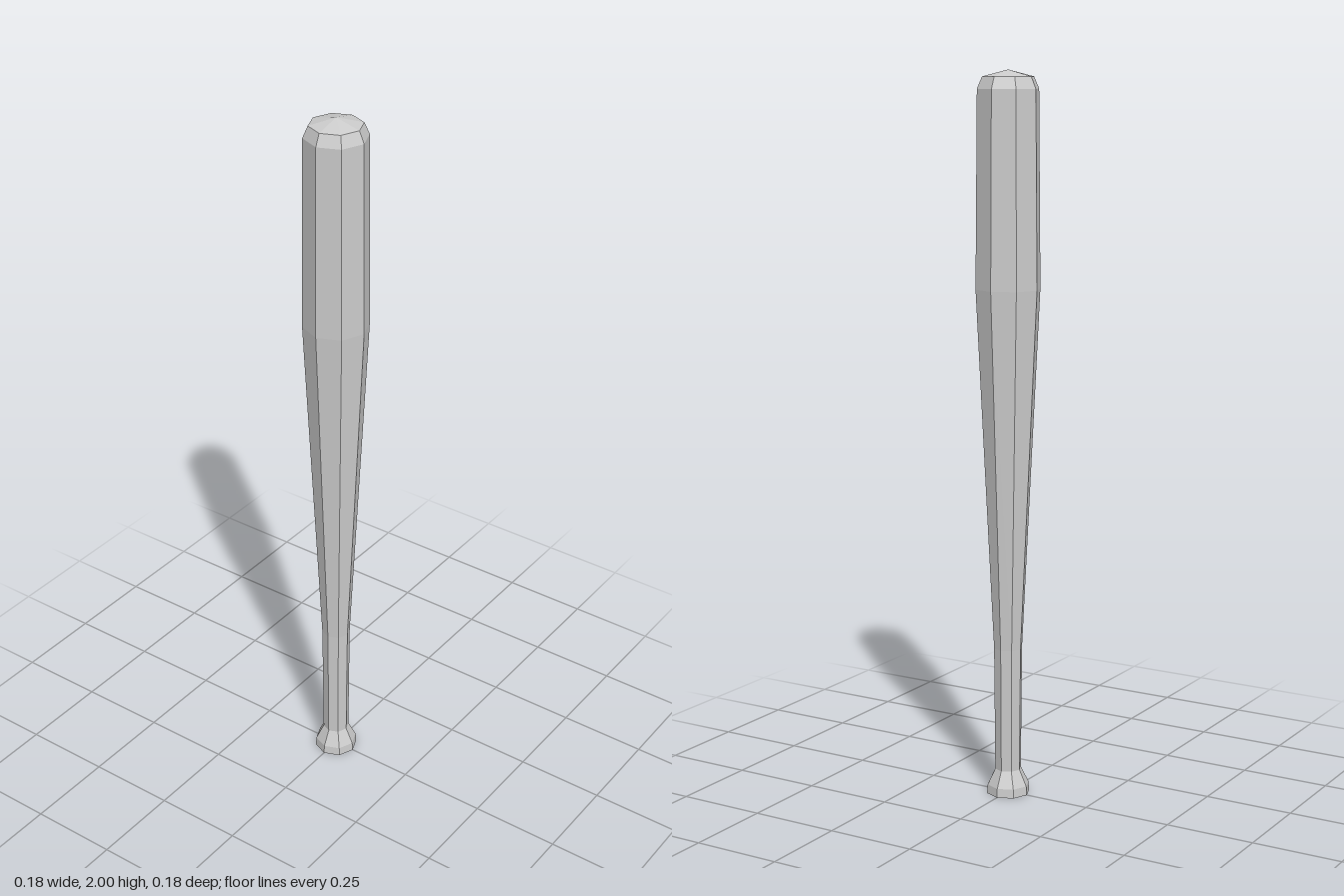
import * as THREE from 'three';

export function createModel() {
  const model = new THREE.Group();
  model.name = 'bat';
  const material = new THREE.MeshStandardMaterial({ color: 0xcccccc, flatShading: true });

  // Radius and height, from the butt of the knob up to the crown
  const profile = [
    [0, 0], [0.061, 0], [0.059, 0.025], // knob
    [0.037, 0.07], [0.04, 0.42], // grip
    [0.09, 1.42], [0.085, 1.95], // taper and barrel
    [0.071, 1.982], [0, 2], // rounded end
  ].map(([r, y]) => new THREE.Vector2(r, y));

  // Eight-sided bat turned as a single piece
  const body = new THREE.Mesh(new THREE.LatheGeometry(profile, 8), material);
  body.name = 'batBody';
  model.add(body);
  return model;
}
